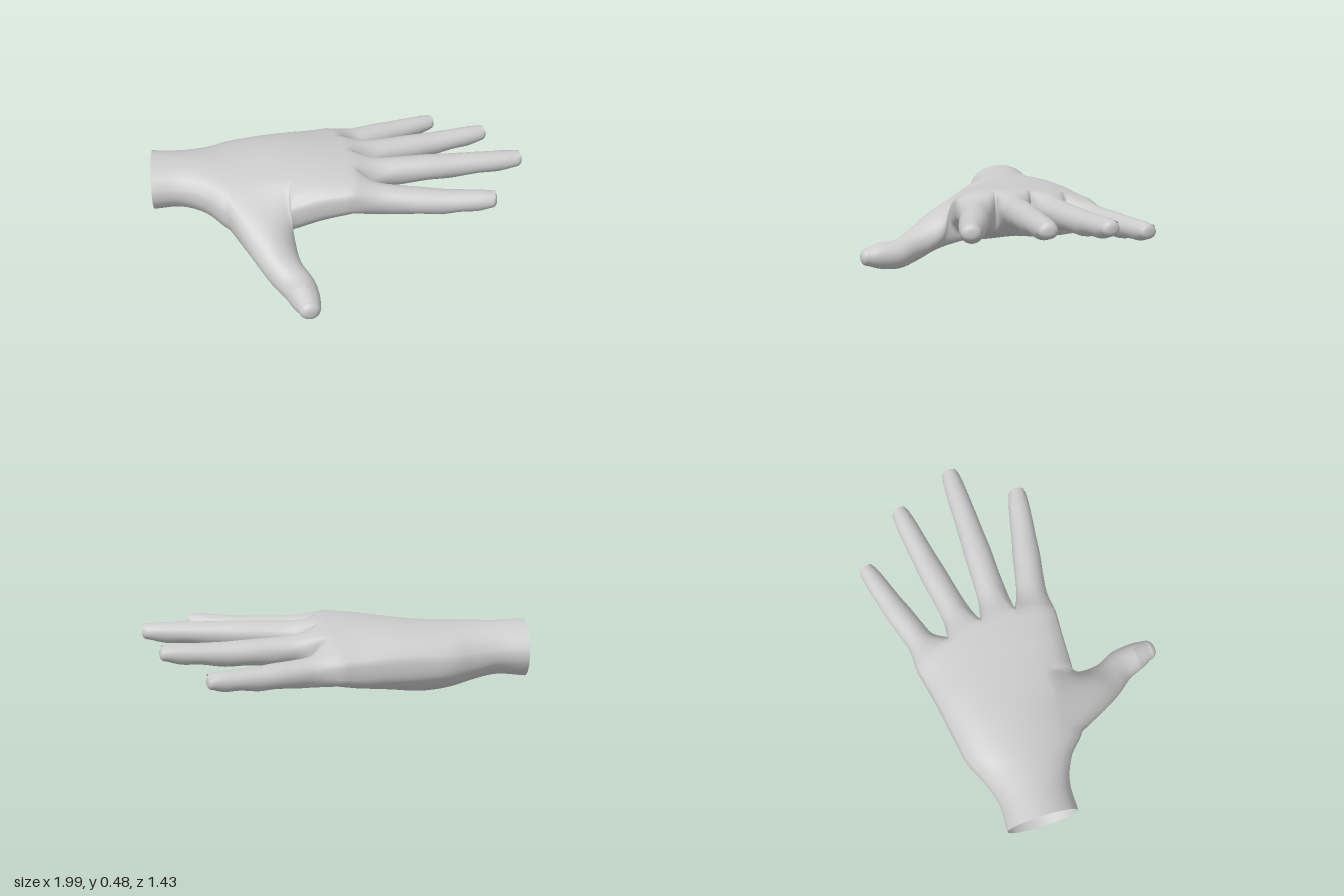
import * as THREE from 'three';
import { mergeVertices } from 'three/addons/utils/BufferGeometryUtils.js';

const V = (x, y, z) => new THREE.Vector3(x, y, z);
const RAD = Math.PI / 180;
const K = 6;          // segments across each finger, top and bottom
const M = 6;          // segments down each side
const W = 4 * K;      // segments across the palm
const SUB = 5;        // rows between two key sections

// Smooth rows of points through key sections with equal point counts
function loft(sections, sub = SUB) {
  const steps = (sections.length - 1) * sub;
  const columns = sections[0].map((_, i) => new THREE.CatmullRomCurve3(sections.map(s => s[i])));
  return Array.from({ length: steps + 1 }, (_, r) => columns.map(c => c.getPoint(r / steps)));
}

// Quads between rows, appended to a flat position list
function skin(out, rows, closed, skip = () => false) {
  const n = rows[0].length;
  for (let r = 0; r < rows.length - 1; r++) {
    for (let c = 0; c < (closed ? n : n - 1); c++) {
      if (skip(r, c)) continue;
      const d = (c + 1) % n, a = rows[r], b = rows[r + 1];
      for (const p of [a[c], a[d], b[c], a[d], b[d], b[c]]) out.push(p.x, p.y, p.z);
    }
  }
}

// Weld shared points and compute smooth normals
function smoothMesh(positions, name, material) {
  let geo = new THREE.BufferGeometry();
  geo.setAttribute('position', new THREE.Float32BufferAttribute(positions, 3));
  geo = mergeVertices(geo, 1e-4);
  geo.computeVertexNormals();
  const mesh = new THREE.Mesh(geo, material);
  mesh.name = name;
  return mesh;
}

// Palm section: ellipse-like loop, over the top towards +z and back underneath
function palmSection([x, z0, z1, yb, yt, e, bow, tilt, hollow]) {
  const zc = (z0 + z1) / 2, hw = (z1 - z0) / 2, yc = (yb + yt) / 2, hh = (yt - yb) / 2;
  const edge = 0.96, side = Math.acos(edge);
  const angles = [];
  for (let i = 0; i <= W; i++) angles.push(Math.acos(edge * (2 * i / W - 1)));
  for (let i = 1; i < M; i++) angles.push(side * (1 - 2 * i / M));
  for (let i = 0; i <= W; i++) angles.push(-Math.acos(edge * (1 - 2 * i / W)));
  for (let i = 1; i < M; i++) angles.push(Math.PI + side * (1 - 2 * i / M));
  return angles.map(t => {
    const s = Math.sin(t), z = zc + hw * Math.cos(t);
    let y = yc + hh * Math.sign(s) * Math.abs(s) ** e + tilt * Math.cos(t);
    if (s < 0) y += hollow * Math.exp(-(((z + 0.14) / 0.15) ** 2));
    return V(x - bow * (z + 0.07) ** 2, y, z);
  });
}

// Point of a digit's oval section; k = centre, heading, half width, height above, below
function ovalPoint(k, deg, scale = 1) {
  const c = Math.cos(deg * RAD) * k.a * scale, s = Math.sin(deg * RAD) * scale;
  return V(k.p.x - k.d.z * c, k.p.y + s * (s > 0 ? k.top : k.bottom), k.p.z + k.d.x * c);
}

const oval = (k, n, start, scale) =>
  Array.from({ length: n }, (_, i) => ovalPoint(k, start - i * 360 / n, scale));

// Digit grown from a loop of palm points and closed with a rounded tip
function addDigit(out, root, keys, start, tipLength) {
  const n = root.length, last = keys[keys.length - 1];
  const sections = [root, ...keys.map(k => oval(k, n, start))];
  for (const f of [28, 52, 70, 82, 90]) {
    const p = last.p.clone().addScaledVector(last.d, tipLength * Math.sin(f * RAD));
    sections.push(oval({ ...last, p }, n, start, Math.max(0, Math.cos(f * RAD)) ** 0.75));
  }
  skin(out, loft(sections), true);
}

// Curved nail plate over the last two sections of a digit
function makeNail(keys, from, to, centre, name, material) {
  const [k0, k1] = keys.slice(-2), rows = [], mix = THREE.MathUtils.lerp;
  for (let r = 0; r <= 8; r++) {
    const t = r / 8, f = mix(from, to, t);
    const k = { p: k0.p.clone().lerp(k1.p, f), d: k1.d };
    for (const q of ['a', 'top', 'bottom']) k[q] = mix(k0[q], k1[q], f);
    const spread = 52 * Math.min(1, 0.72 + 1.2 * t);
    rows.push(Array.from({ length: 11 }, (_, i) =>
      ovalPoint(k, centre + spread * (1 - i / 5), i === 0 || i === 10 ? 0.99 : 1.035)));
  }
  const positions = [];
  skin(positions, rows, false);
  return smoothMesh(positions, name, material);
}

export function createModel() {
  const group = new THREE.Group();
  group.name = 'hand';
  const material = new THREE.MeshStandardMaterial({ color: 0xcccccc, side: THREE.DoubleSide });
  const out = [];

  // Wrist and palm: x, z from, z to, bottom, top, roundness, bow, tilt, hollow
  const palm = loft([
    [-1.0, -0.37, 0.0, 0.2, 0.49, 1, 0, 0, 0],
    [-0.85, -0.37, 0.005, 0.21, 0.48, 1, 0, 0, 0],
    [-0.72, -0.41, 0.06, 0.185, 0.475, 0.9, 0, 0, 0],
    [-0.6, -0.465, 0.16, 0.14, 0.472, 0.85, 0, -0.02, 0],
    [-0.45, -0.495, 0.2, 0.115, 0.475, 0.8, 0, -0.03, 0.02],
    [-0.28, -0.525, 0.21, 0.15, 0.48, 0.72, 0, -0.01, 0.035],
    [-0.1, -0.55, 0.21, 0.19, 0.48, 0.65, 0.25, 0.015, 0.025],
    [0.07, -0.575, 0.215, 0.225, 0.475, 0.6, 0.5, 0.025, 0],
  ].map(palmSection));

  // Opening on the +z side of the palm where the thumb grows
  const r0 = 3 * SUB, r1 = 5 * SUB, c0 = W - 4, c1 = W + M + 4;
  skin(out, palm, true, (r, c) => r >= r0 && r < r1 && c >= c0 && c < c1);

  // Thumb
  const hole = [];
  for (let c = c0; c < c1; c++) hole.push(palm[r0][c]);
  for (let r = r0; r < r1; r++) hole.push(palm[r][c1]);
  for (let c = c1; c > c0; c--) hole.push(palm[r1][c]);
  for (let r = r1; r > r0; r--) hole.push(palm[r][c0]);
  const thumb = [
    [-0.378, 0.19, 0.3, 0.41, 0.91, 0.123, 0.105],
    [-0.325, 0.122, 0.415, 0.45, 0.89, 0.096, 0.09],
    [-0.265, 0.087, 0.505, 0.3, 0.95, 0.088, 0.081],
    [-0.237, 0.083, 0.61, 0.15, 0.99, 0.073, 0.07],
    [-0.225, 0.082, 0.665, 0.12, 0.99, 0.057, 0.052],
  ].map(([x, y, z, dx, dz, a, b]) => ({ p: V(x, y, z), d: V(dx, 0, dz), a, top: b, bottom: b }));
  addDigit(out, hole, thumb, 180 * 14 / hole.length, 0.047);
  group.add(makeNail(thumb, -0.4, 1.4, 68, 'thumbNail', material));

  // Webs between the fingers: columns of points from the top to the underside
  const end = palm[palm.length - 1], under = 2 * W + M;
  const column = u => Array.from({ length: M + 1 }, (_, i) => {
    if (u === 4) return end[W + i];
    if (u === 0) return end[(end.length - i) % end.length];
    const p = end[u * K].clone().lerp(end[under - u * K], i / M);
    p.x += 0.05 * Math.sin(Math.PI * i / M);
    return p;
  });
  const webs = [0, 1, 2, 3, 4].map(column);

  // Fingers: base, middle and tip of the centre line, base half width
  const fingers = [
    ['little', [0.1, 0.325, -0.51], [0.33, 0.32, -0.595], [0.605, 0.325, -0.685], 0.077],
    ['ring', [0.17, 0.372, -0.29], [0.5, 0.37, -0.358], [0.86, 0.39, -0.425], 0.08],
    ['middle', [0.19, 0.385, -0.08], [0.55, 0.397, -0.085], [0.995, 0.41, -0.097], 0.083],
    ['index', [0.17, 0.36, 0.125], [0.47, 0.352, 0.18], [0.79, 0.375, 0.232], 0.084],
  ];
  // Along a finger: fraction, width, fullness of the pads underneath
  const profile = [[0, 1, 1.08], [0.2, 0.91, 1.06], [0.4, 0.89, 0.9], [0.56, 0.81, 1.02],
    [0.72, 0.75, 0.88], [0.86, 0.68, 0.98], [0.95, 0.59, 0.8]];
  fingers.forEach(([name, base, mid, tip, radius], i) => {
    const line = new THREE.CatmullRomCurve3([base, mid, tip].map(p => V(...p)));
    const d = V(tip[0] - base[0], 0, tip[2] - base[2]), length = d.length();
    d.normalize();
    const keys = profile.map(([f, w, pad]) => {
      const a = radius * w;
      return { p: line.getPoint(f), d, a, top: a * 0.93, bottom: a * pad };
    });
    const first = under - (i + 1) * K;
    const root = [
      ...end.slice(i * K, i * K + K + 1),
      ...webs[i + 1].slice(1),
      ...end.slice(first + 1, first + K + 1),
      ...webs[i].slice(1, M).reverse(),
    ];
    addDigit(out, root, keys, 135, length * 0.05);
    group.add(makeNail(keys, 0.1, 1.35, 90, name + 'FingerNail', material));
  });

  group.add(smoothMesh(out, 'palmAndFingers', material));
  return group;
}
